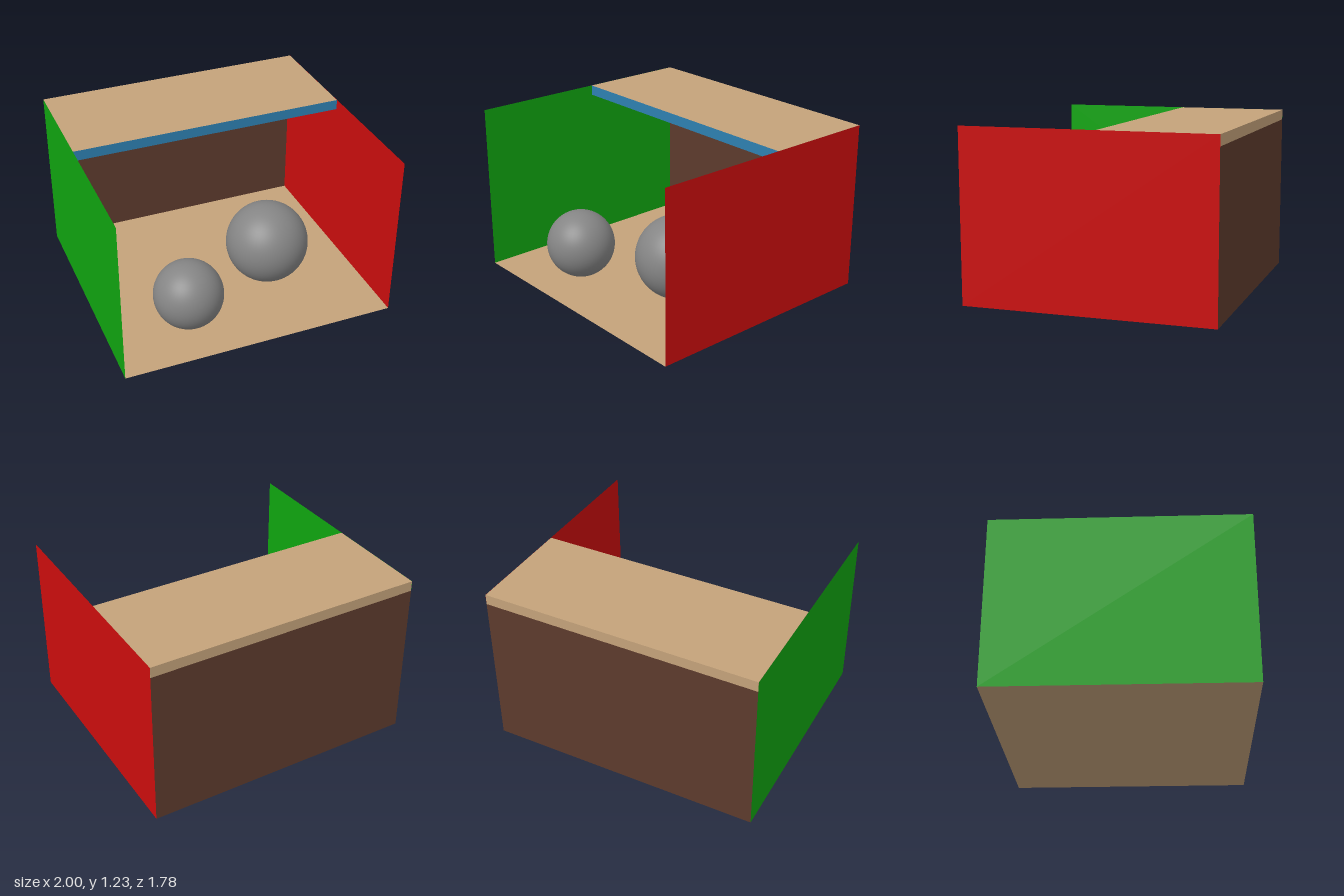
import * as THREE from 'three';

const material = (name, color, side = THREE.FrontSide) => {
  const m = new THREE.MeshStandardMaterial({ color, side });
  m.name = name;
  return m;
};

export function createModel() {
  const tan = material('tan', 0xc4a27a, THREE.DoubleSide);
  const brown = material('brown', 0x5d3b2d, THREE.DoubleSide);
  const red = material('red', 0xcc0d0d, THREE.DoubleSide);
  const green = material('green', 0x10a610, THREE.DoubleSide);
  const blue = material('blue', 0x2e80b0);
  const grey = material('grey', 0x858585);

  const width = 2, depth = 1.78, height = 1.225;
  const roofBottom = 1.15, roofFront = -0.08, back = -depth / 2;

  const model = new THREE.Group();
  model.name = 'openRoom';
  const add = (name, geometry, mat, x, y, z) => {
    const mesh = new THREE.Mesh(geometry, mat);
    mesh.name = name;
    mesh.position.set(x, y, z);
    model.add(mesh);
    return mesh;
  };

  // Floor and back wall
  add('floor', new THREE.PlaneGeometry(width, depth).rotateX(-Math.PI / 2), tan, 0, 0, 0);
  add('backWall', new THREE.PlaneGeometry(width, roofBottom), brown, 0, roofBottom / 2, back);

  // Side walls
  for (const [name, side, mat] of [['leftWall', 1, red], ['rightWall', -1, green]]) {
    const wall = new THREE.PlaneGeometry(depth, height).rotateY(side * Math.PI / 2);
    add(name, wall, mat, side * width / 2, height / 2, 0);
  }

  // Half roof slab with a blue front edge, fitted just between the walls
  const roof = new THREE.BoxGeometry(width - 0.002, height - roofBottom, roofFront - back);
  add('roof', roof, [tan, tan, tan, tan, blue, tan],
    0, (height + roofBottom) / 2, (roofFront + back) / 2);

  // Balls
  add('smallBall', new THREE.SphereGeometry(0.25, 48, 32), grey, -0.4, 0.262, 0.505);
  add('largeBall', new THREE.SphereGeometry(0.303, 48, 32), grey, 0.335, 0.32, 0.2);

  return model;
}
